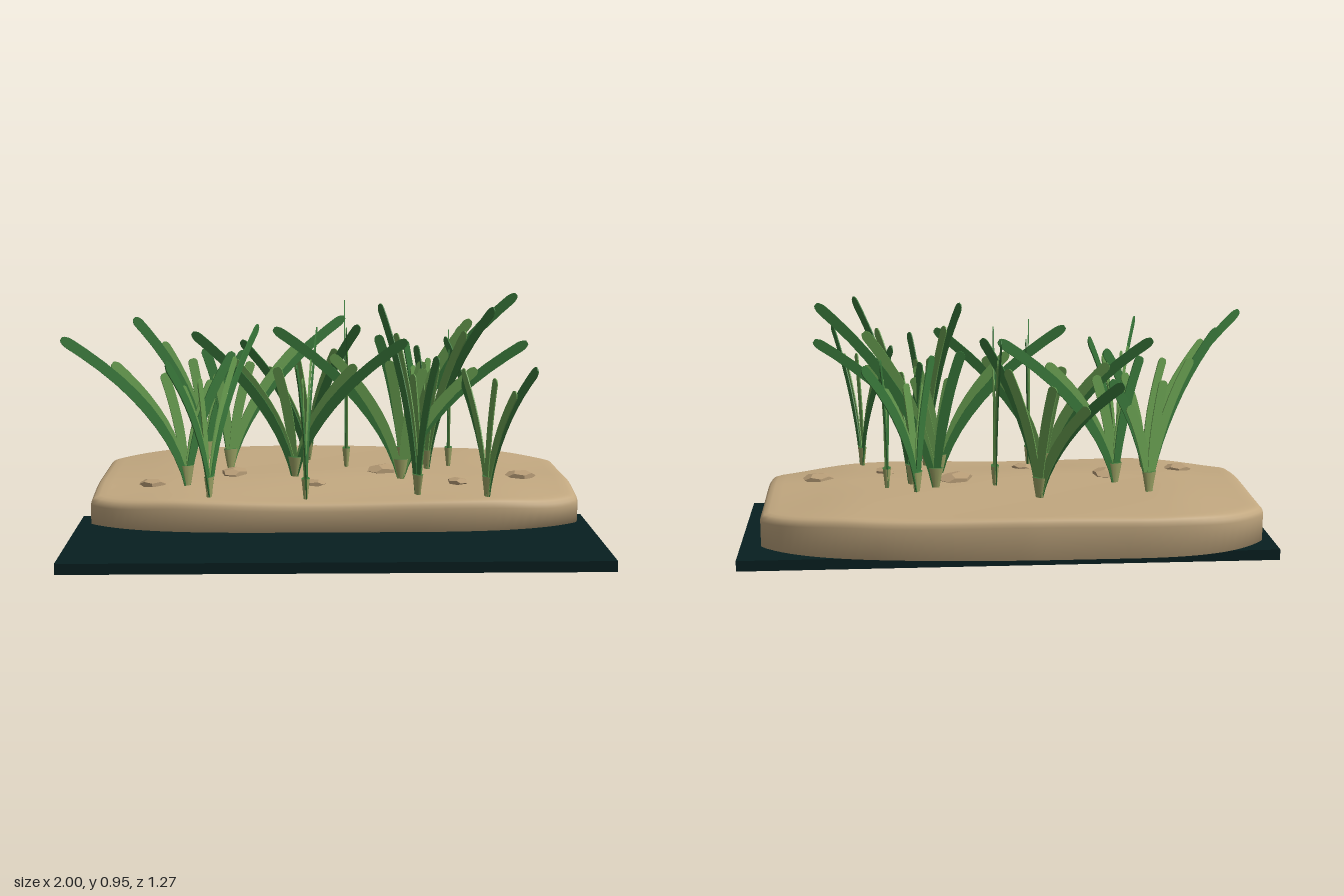
import * as THREE from 'three';

const mat = (name, color, extra = {}) => Object.assign(new THREE.MeshStandardMaterial({ color, ...extra }), { name });

// Gentle height of the sand surface
const sandHeight = (x, z) =>
  0.268 - 0.034 * THREE.MathUtils.smoothstep(z, -0.05, 0.36)
  - 0.018 * THREE.MathUtils.smoothstep(Math.abs(x), 0.55, 0.9)
  + 0.004 * Math.sin(6 * x + 2) * Math.cos(9 * z);

// Sand slab: outline rings from the middle of the underside, up the wall and in over the top
function sandGeometry() {
  const s = new THREE.Shape();
  s.moveTo(-0.9, 0.2);
  s.bezierCurveTo(-0.75, 0.34, -0.5, 0.357, -0.2, 0.357);
  s.lineTo(0.25, 0.357);
  s.bezierCurveTo(0.5, 0.357, 0.75, 0.34, 0.9, 0.2);
  s.lineTo(0.9, -0.41);
  s.bezierCurveTo(0.75, -0.6, 0.4, -0.62, -0.05, -0.64);
  s.lineTo(-0.4, -0.64);
  s.bezierCurveTo(-0.65, -0.64, -0.8, -0.59, -0.9, -0.45);
  s.lineTo(-0.9, 0.2);
  const N = 144;
  const outline = s.getSpacedPoints(N).slice(0, N);
  // scale about the centre, drop below the surface (null = underside)
  const rings = [[0, null], [0.6, null], [0.93, null], [1, null],
    [1, 0.03], [0.996, 0.016], [0.985, 0.006], [0.965, 0.001], [0.93, 0]];
  for (let k = 0.85; k > 0.01; k -= 0.07) rings.push([k, 0]);
  rings.push([0, 0]);
  const pos = [], index = [];
  rings.forEach(([k, drop], r) => outline.forEach((p, j) => {
    const x = p.x * k, z = -0.14 + (p.y + 0.14) * k;
    pos.push(x, drop === null ? 0.125 : sandHeight(x, z) - drop, z);
    if (r + 1 < rings.length) {
      const a = r * N + j, b = r * N + (j + 1) % N;
      index.push(a, b, b + N, a, b + N, a + N);
    }
  }));
  const g = new THREE.BufferGeometry();
  g.setAttribute('position', new THREE.Float32BufferAttribute(pos, 3));
  g.setIndex(index);
  g.computeVertexNormals();
  return g;
}

// Flat blade lying in the xy plane, bending outwards to a round tip
function bladeGeometry(reach, height) {
  const curve = new THREE.QuadraticBezierCurve(
    new THREE.Vector2(0, 0),
    new THREE.Vector2(0.15 * reach, 0.55 * height),
    new THREE.Vector2(reach, height));
  const left = [], right = [];
  for (const u of [0, 0.1, 0.2, 0.3, 0.4, 0.5, 0.6, 0.7, 0.8, 0.9, 0.96, 0.975, 0.99, 0.997]) {
    const p = curve.getPoint(u), t = curve.getTangent(u);
    const round = Math.max(0, (u - 0.96) / 0.04);
    const w = (0.01 + 0.009 * Math.min(1, u * 2.2)) * Math.sqrt(1 - round * round);
    left.push(new THREE.Vector2(p.x - t.y * w, p.y + t.x * w));
    right.unshift(new THREE.Vector2(p.x + t.y * w, p.y - t.x * w));
  }
  return new THREE.ExtrudeGeometry(new THREE.Shape([...left, ...right]), { depth: 0.004, bevelEnabled: false });
}

export function createModel() {
  const model = new THREE.Group();
  model.name = 'plantedSandBed';
  const sand = mat('sand', 0xc2a880);
  const pebble = mat('pebble', 0xb89d77, { flatShading: true });
  const dark = mat('darkTeal', 0x071f20);
  const green = mat('leafGreen', 0x39783a);
  const light = mat('leafLightGreen', 0x689e50);
  const stemMat = mat('stemOlive', 0x9ca365);

  const add = (parent, name, geometry, material) => {
    const m = new THREE.Mesh(geometry, material);
    m.name = name;
    parent.add(m);
    return m;
  };

  // Base plate and sand
  add(model, 'basePlate', new THREE.BoxGeometry(2, 0.04, 0.77), dark).position.set(0, 0.02, 0.075);
  add(model, 'sandBed', sandGeometry(), sand);

  // Pebbles: x, z, radius
  [[-0.68, 0.09, 0.054], [-0.38, -0.03, 0.062], [-0.075, 0.125, 0.044],
    [0.19, -0.07, 0.07], [0.46, 0.1, 0.046], [0.71, 0, 0.06]].forEach(([x, z, r], i) => {
    const m = add(model, 'pebble', new THREE.DodecahedronGeometry(r, 0), pebble);
    m.position.set(x, sandHeight(x, z) + 0.004, z);
    m.scale.set(1, 0.32, 0.85);
    m.rotation.y = i * 1.3;
  });

  // Grass fans: root x, z; far tip x, z, y; opposite reach and tip y
  [
    [-0.55, 0.12, -0.97, 0.37, 0.83, 0.2, 0.74],
    [-0.505, -0.3, -0.77, -0.18, 0.85, 0.17, 0.7],
    [-0.1, -0.33, -0.37, -0.55, 0.72, 0.26, 0.82],
    [-0.4, -0.15, 0.05, -0.32, 0.84, 0.1, 0.74],
    [-0.15, 0.03, -0.54, -0.11, 0.8, 0.44, 0.8],
    [-0.46, 0.27, -0.585, 0.61, 0.77, 0.49, 0.82],
    [-0.11, 0.28, -0.145, 0.63, 0.76, 0.45, 0.81],
    [0.05, -0.16, 0.058, -0.59, 0.88, 0.2, 0.83],
    [0.55, 0.28, 0.67, 0.63, 0.75, 0.4, 0.78],
    [0.34, -0.24, 0.53, -0.49, 0.78, 0.1, 0.76],
    [0.27, -0.18, 0.7, -0.105, 0.945, 0.1, 0.78],
    [0.45, -0.17, 0.47, -0.38, 0.78, 0.17, 0.74],
    [0.25, 0.05, 0.72, 0.07, 0.78, 0.48, 0.83],
    [0.3, 0.25, 0.17, 0.03, 0.92, 0.12, 0.76],
    [0.36, -0.12, 0.57, 0.23, 0.92, 0.08, 0.74],
  ].forEach(([x, z, tx, tz, h1, reach2, h2]) => {
    const plant = new THREE.Group();
    plant.name = 'grassPlant';
    const y = sandHeight(x, z) - 0.01;
    plant.position.set(x, y, z);
    plant.rotation.y = Math.atan2(-(tz - z), tx - x);
    const reach1 = Math.hypot(tx - x, tz - z);
    // Flattened sheath at the root, green inside
    const stem = add(plant, 'stem', new THREE.CylinderGeometry(0.028, 0.012, 0.085, 10), [stemMat, green, stemMat]);
    stem.position.y = 0.042;
    stem.scale.z = 0.55;
    // Blades fanned in one plane
    [
      [reach1, h1, green], [-reach2, h2, green],
      [reach1 * 0.6, h1 - 0.1, light], [-reach2 * 0.55, h2 - 0.1, light],
      [reach1 * 0.18, 0.68, light],
    ].forEach(([reach, top, material], i) => {
      add(plant, 'blade', bladeGeometry(reach, top - y), material).position.z = (i - 2) * 0.0022 - 0.002;
    });
    model.add(plant);
  });
  return model;
}
